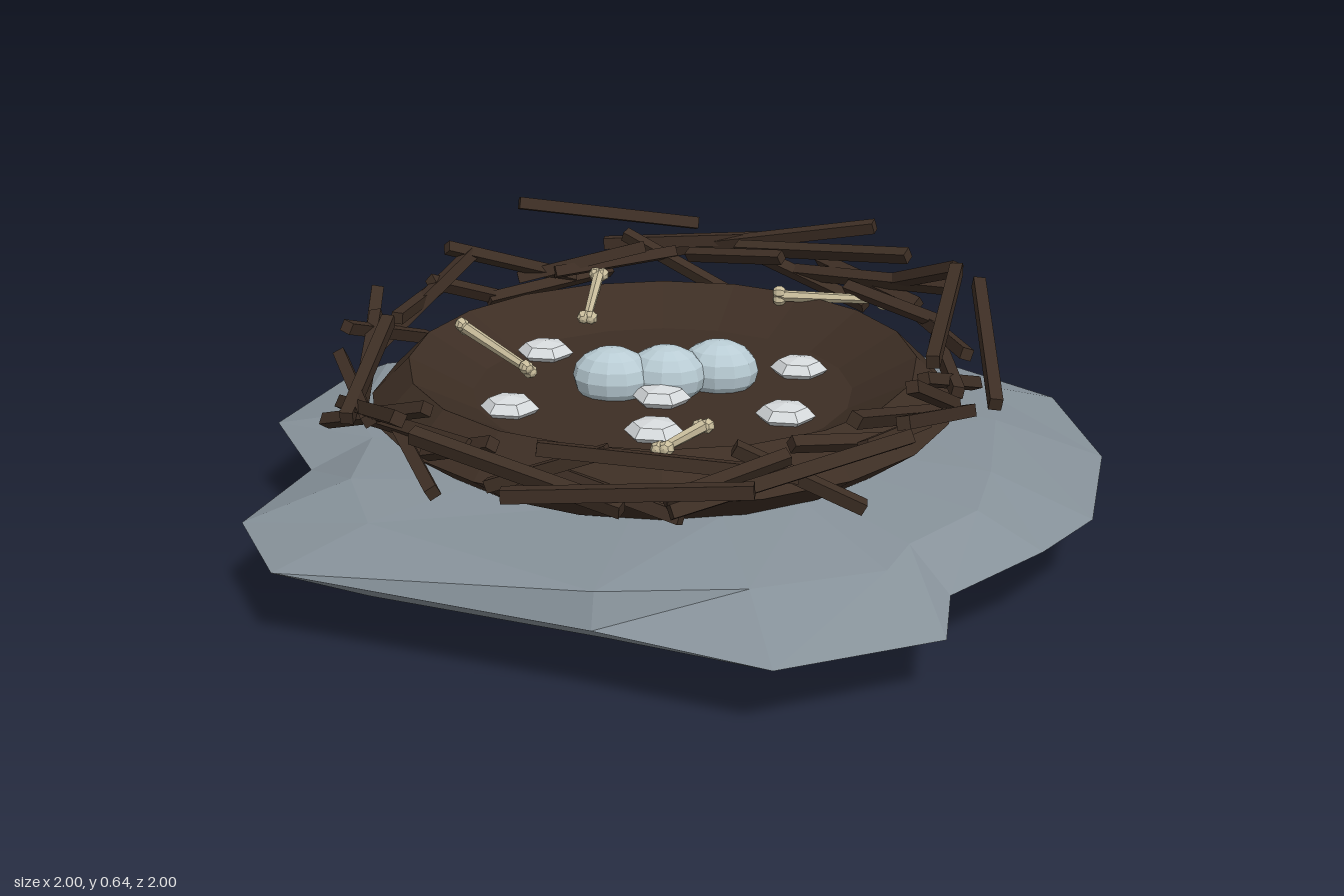
import * as THREE from 'three';

const mat = (color) => new THREE.MeshStandardMaterial({ color, flatShading: true, roughness: 0.9 });
const V = (x, y, z) => new THREE.Vector3(x, y, z);

function add(parent, name, geometry, material, x = 0, y = 0, z = 0) {
  const m = new THREE.Mesh(geometry, material);
  m.name = name;
  m.position.set(x, y, z);
  parent.add(m);
  return m;
}

// small seeded generator for the loose twigs
function seeded(seed) {
  return () => {
    seed = (seed * 16807) % 2147483647;
    return seed / 2147483647;
  };
}

// turn an object whose length runs along y so it spans a to b
function span(object, a, b) {
  object.position.copy(a).add(b).multiplyScalar(0.5);
  object.quaternion.setFromUnitVectors(V(0, 1, 0), b.clone().sub(a).normalize());
}

// rock slab: an irregular outline with a shoulder above it and rings closing the underside
function rockGeometry() {
  const outline = [ // x, y, z, shoulder scale, shoulder height; clockwise from the back
    [-0.04, 0.17, -1, 0.88, 0.245], [0.32, 0.15, -0.98, 0.93, 0.225], [0.88, 0.17, -0.61, 0.76, 0.25],
    [1, 0.155, -0.25, 0.74, 0.26], [0.97, 0.17, 0.18, 0.76, 0.255], [0.86, 0.18, 0.4, 0.83, 0.24],
    [0.67, 0.16, 0.61, 0.86, 0.235], [0.67, 0.14, 0.78, 0.8, 0.215], [0.34, 0.155, 1, 0.78, 0.225],
    [-0.04, 0.17, 0.91, 0.97, 0.245], [-0.76, 0.18, 0.76, 0.78, 0.235], [-0.91, 0.18, 0.51, 0.76, 0.25],
    [-0.86, 0.17, 0.16, 0.83, 0.25], [-1, 0.21, -0.03, 0.8, 0.25], [-0.95, 0.18, -0.46, 0.87, 0.245],
    [-0.58, 0.16, -0.64, 0.9, 0.24], [-0.4, 0.16, -0.97, 0.9, 0.235],
  ];
  const n = outline.length, pos = [], index = [];
  const ring = (at) => outline.forEach((p, i) => {
    const [s, y] = at(p, i);
    pos.push(p[0] * s, y, p[2] * s);
  });
  ring(() => [0, 0.265]);
  ring(() => [0.5, 0.262]);
  ring((p) => [p[3], p[4]]);
  ring((p) => [1, p[1]]);
  ring((p, i) => [0.82 + 0.04 * Math.sin(i * 2.4), 0.075 + 0.015 * Math.sin(i * 2.4)]);
  ring((p, i) => [0.42, 0.018 + 0.008 * Math.sin(i * 1.7)]);
  ring(() => [0, 0]);
  for (let r = 0; r < 6; r++) {
    for (let i = 0; i < n; i++) {
      const j = (i + 1) % n, a = r * n + i, b = r * n + j, c = a + n, d = b + n;
      if (r > 0) index.push(a, b, d);
      if (r < 5) index.push(a, d, c);
    }
  }
  const g = new THREE.BufferGeometry();
  g.setAttribute('position', new THREE.Float32BufferAttribute(pos, 3));
  g.setIndex(index);
  g.computeVertexNormals();
  return g;
}

// bone: shaft with two knobs at each end
function addBone(parent, a, b, material) {
  const bone = new THREE.Group();
  bone.name = 'bone';
  const len = a.distanceTo(b);
  add(bone, 'boneShaft', new THREE.CylinderGeometry(0.011, 0.015, len, 6), material);
  for (const end of [-1, 1]) for (const side of [-1, 1]) {
    add(bone, 'boneKnob', new THREE.SphereGeometry(0.018, 7, 5), material, side * 0.009, end * len / 2, 0);
  }
  span(bone, a, b);
  parent.add(bone);
}

export function createModel() {
  const root = new THREE.Group();
  root.name = 'nestOnRock';
  const twigMat = mat(0x3d2e24), cx = -0.045, cz = -0.037;

  add(root, 'rockSlab', rockGeometry(), mat(0x87929a));

  // nest bowl: flared wall, rounded rim, sloping inside and flat floor
  const profile = [[0, 0.25], [0.58, 0.26], [0.69, 0.34], [0.6, 0.43], [0.45, 0.35], [0, 0.345]];
  const bowl = add(root, 'nestBowl',
    new THREE.LatheGeometry(profile.map(([r, y]) => new THREE.Vector2(r, y)), 20), twigMat, cx, 0, cz);
  bowl.rotation.y = Math.PI / 20;

  // twigs laid around the rim
  const twigs = new THREE.Group();
  twigs.name = 'twigs';
  root.add(twigs);
  const addTwig = (a, b, w) => span(add(twigs, 'twig',
    new THREE.BoxGeometry(w, a.distanceTo(b), w), twigMat), a, b);

  const placed = [ // start and end of the most prominent twigs
    [-0.53, 0.61, -0.68, -0.08, 0.53, -0.84], [-0.33, 0.47, -0.82, 0.15, 0.5, -0.84],
    [-0.19, 0.44, -0.87, 0.4, 0.57, -0.74], [0.04, 0.49, -0.76, 0.5, 0.56, -0.52],
    [0.2, 0.45, -0.7, 0.62, 0.52, -0.4], [0.68, 0.53, -0.42, 0.74, 0.4, 0.09],
    [0.45, 0.48, -0.55, 0.63, 0.62, -0.23], [-0.62, 0.52, -0.5, -0.76, 0.4, -0.1],
    [-0.79, 0.5, -0.22, -0.7, 0.37, 0.25], [-0.76, 0.36, 0.2, -0.5, 0.5, 0.64],
    [-0.47, 0.47, 0.65, 0, 0.38, 0.77], [-0.25, 0.4, 0.78, 0.27, 0.43, 0.75],
    [0.1, 0.38, 0.77, 0.57, 0.47, 0.5], [-0.2, 0.46, 0.66, 0.34, 0.39, 0.56],
    [0.45, 0.5, 0.5, 0.62, 0.36, 0.05], [0.68, 0.33, -0.05, 0.55, 0.48, 0.45],
    [-0.7, 0.5, 0, -0.69, 0.4, 0.4], [-0.66, 0.38, 0.33, -0.35, 0.44, 0.63],
    [-0.52, 0.43, -0.6, -0.2, 0.5, -0.7], [0.63, 0.62, -0.23, 0.6, 0.55, 0.25],
  ];
  for (const [ax, ay, az, bx, by, bz] of placed) addTwig(V(ax, ay, az), V(bx, by, bz), 0.03);

  // loose filler twigs, roughly tangent to the rim
  const rand = seeded(77), count = 26;
  for (let i = 0; i < count; i++) {
    const t = (i + rand() * 0.6) / count * Math.PI * 2;
    const r = 0.67 + rand() * 0.06, half = 0.12 + rand() * 0.08;
    const y = 0.38 + rand() * 0.08 - 0.03 * Math.sin(t);
    const out = (rand() - 0.5) * 0.12, rise = (rand() - 0.5) * 0.14;
    const at = (s) => V(
      cx + Math.cos(t) * (r + s * out) - Math.sin(t) * half * s,
      y + s * rise,
      cz + Math.sin(t) * (r + s * out) + Math.cos(t) * half * s);
    addTwig(at(-1), at(1), 0.028);
  }

  // eggs
  const eggMat = mat(0xb9ccd4);
  for (const [x, z] of [[-0.16, 0], [-0.035, -0.03], [0.082, -0.09]]) {
    const egg = add(root, 'egg', new THREE.SphereGeometry(0.075, 12, 8), eggMat, x, 0.388, z);
    egg.scale.set(1.26, 0.96, 1);
  }

  // pale faceted stones on the floor
  const stoneMat = mat(0xd6dadc);
  for (const [x, z] of [[-0.37, -0.23], [0.262, -0.2], [0.265, 0.12], [-0.015, 0.27], [-0.37, 0.17], [-0.035, 0.045]]) {
    const stone = add(root, 'paleStone', new THREE.SphereGeometry(0.07, 6, 4), stoneMat, x, 0.36, z);
    stone.scale.set(1, 0.42, 0.92);
  }

  // bones resting on the inner slope and rim
  const boneMat = mat(0xc9bd9c);
  addBone(root, V(-0.31, 0.44, -0.63), V(-0.295, 0.4, -0.39), boneMat);
  addBone(root, V(0.175, 0.43, -0.55), V(0.44, 0.435, -0.54), boneMat);
  addBone(root, V(-0.56, 0.435, -0.17), V(-0.36, 0.4, 0.015), boneMat);
  addBone(root, V(0.1, 0.39, 0.3), V(0.05, 0.435, 0.56), boneMat);

  return root;
}
